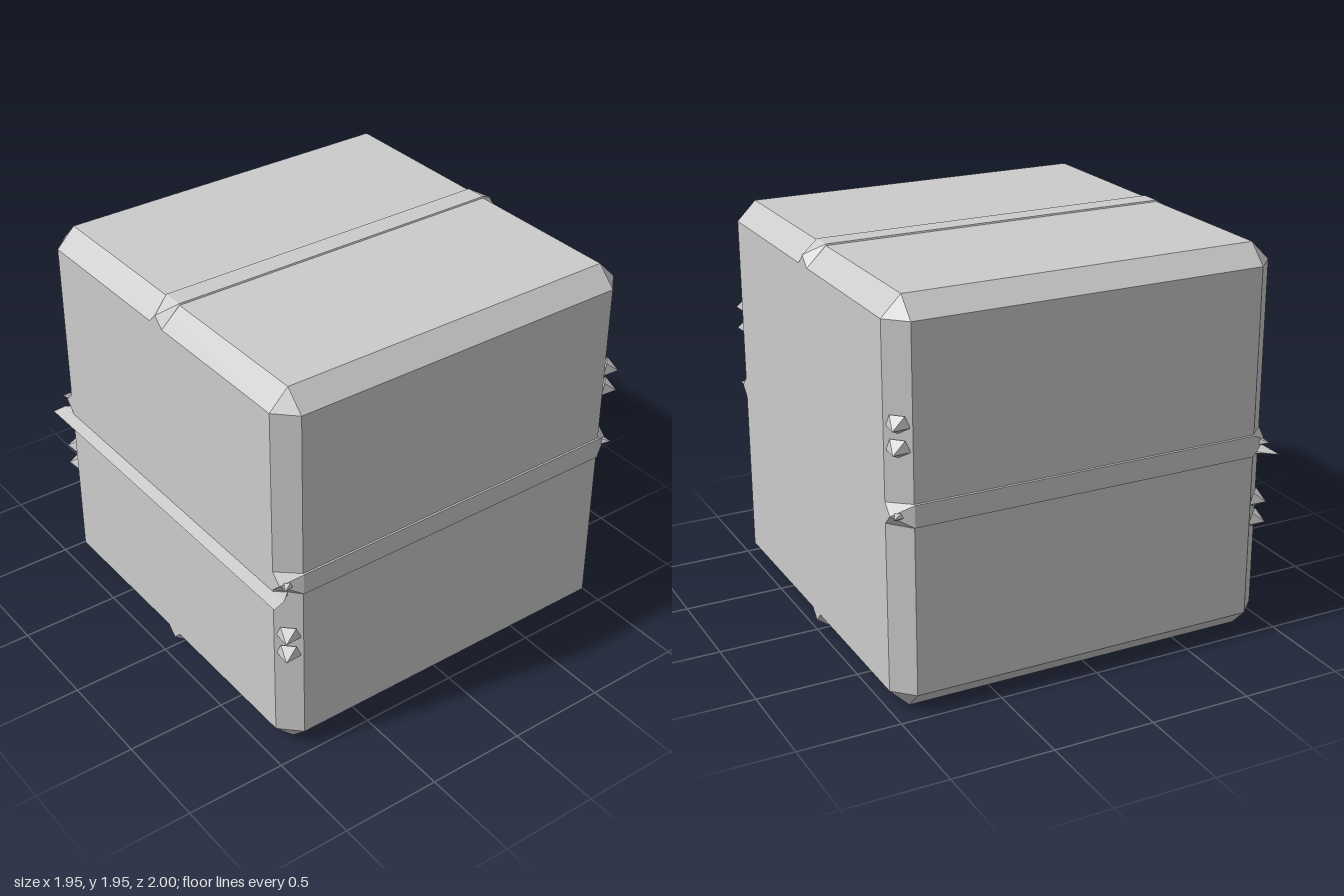
import * as THREE from 'three';
import { ConvexGeometry } from 'three/addons/geometries/ConvexGeometry.js';

const H = 0.97;         // half size of the block
const A = 0.875;        // half size of its flat faces, inside the bevels
const RAISE = 0.977;    // outer height of the raised strips
const SIGNS = [-1, 1];

export function createModel() {
  const model = new THREE.Group();
  const material = new THREE.MeshStandardMaterial({ color: 0xcccccc, flatShading: true });

  const add = (name, geometry, parent = model) => {
    const mesh = new THREE.Mesh(geometry, material);
    mesh.name = name;
    parent.add(mesh);
    return mesh;
  };
  const hull = (points) => new ConvexGeometry(points.map((p) => new THREE.Vector3(...p)));

  // Block centred on its own origin, then lifted and set back
  const block = new THREE.Group();
  block.name = 'block';
  block.position.set(0, RAISE, -0.03);
  model.add(block);

  // Bevelled cube
  const corners = [];
  for (const x of SIGNS) for (const y of SIGNS) for (const z of SIGNS) {
    corners.push([x * H, y * A, z * A], [x * A, y * H, z * A], [x * A, y * A, z * H]);
  }
  add('bevelledCube', hull(corners), block);

  // Raised strips on top, bottom and both sides, with pointed knuckles over the bevels
  const strip = [];
  for (const z of SIGNS) {
    strip.push([0, 0.925, z * H]);
    for (const x of SIGNS) {
      strip.push([x * 0.053, RAISE, z * A], [x * 0.057, 0.968, z * A], [x * 0.05, A, z * H]);
    }
  }
  const stripGeometry = hull(strip);
  ['topStrip', 'leftStrip', 'bottomStrip', 'rightStrip'].forEach((name, i) => {
    add(name, stripGeometry, block).rotation.z = -i * Math.PI / 2;
  });

  // Thin wedge-shaped lip across the front
  const lip = [];
  for (const x of SIGNS) {
    lip.push([x * H, -0.072, 1.03], [x * A, -0.072, 0.87], [x * A, -0.047, 0.87], [x * 0.96, -0.06, 0.97]);
  }
  add('frontLip', hull(lip), block);

  // Five-sided spikes standing on the upright bevels
  const spike = (radius, tilt) => {
    const g = new THREE.ConeGeometry(radius, 0.067, 5);
    g.translate(0, 0.0335, 0);
    g.scale(1.2, 1, 1);
    g.rotateX(Math.PI / 2 + tilt);
    return g;
  };
  const largeSpike = spike(0.05, 0.2);
  const smallSpike = spike(0.03, 0);
  const mid = (H + A) / 2;
  for (const x of SIGNS) for (const z of SIGNS) {
    const place = (name, geometry, y) => {
      const mesh = add(name, geometry, block);
      mesh.position.set(x * mid, y - RAISE, z * mid);
      mesh.rotation.y = Math.atan2(x, z);
    };
    const end = z > 0 ? 'front' : 'back';
    for (const y of z > 0 ? [0.685, 0.58] : [1.395, 1.285]) place(end + 'Spike', largeSpike, y);
    place(end + 'KnuckleSpike', smallSpike, RAISE);
  }

  return model;
}
